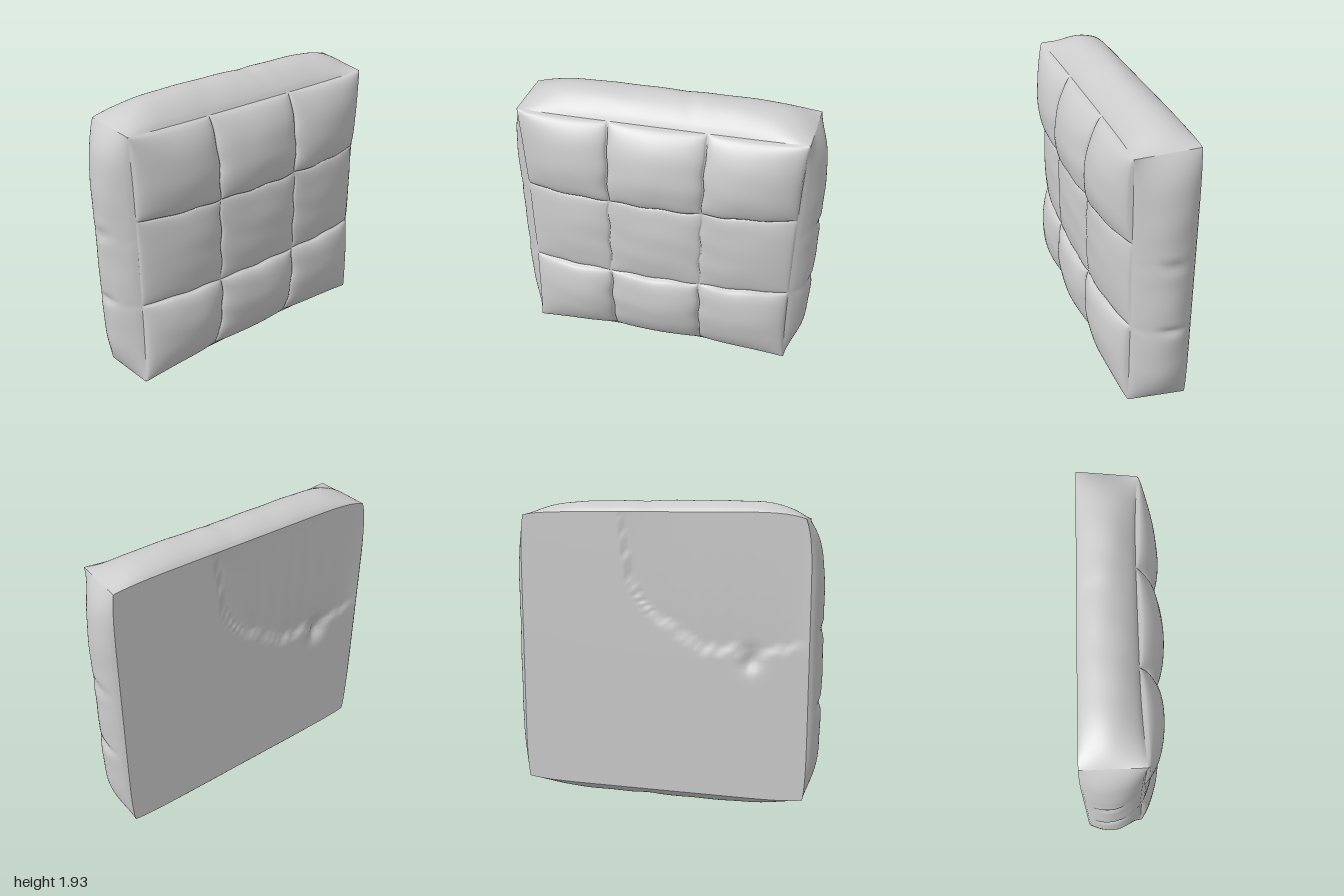
import * as THREE from 'three';

const MID_Y = 0.965;
const BACK_Z = -0.25;
const COLS = [-1, -0.36, 0.33, 1]; // seam positions across the panel
const ROWS = [-1, -0.32, 0.37, 1]; // seam positions up the panel
const N = 28; // steps per quilted square
const { lerp, smoothstep } = THREE.MathUtils;

const material = new THREE.MeshStandardMaterial({ color: 0xcccccc });

// Smooth surface patch from a rule f(s, t) with s and t in 0..1
function patch(name, ns, nt, f, flip = false) {
  const pos = [], index = [];
  for (let j = 0; j <= nt; j++)
    for (let i = 0; i <= ns; i++) pos.push(...f(i / ns, j / nt));
  for (let j = 0; j < nt; j++)
    for (let i = 0; i < ns; i++) {
      const a = j * (ns + 1) + i, b = a + 1, c = a + ns + 1, d = c + 1;
      if (flip) index.push(a, c, b, b, c, d);
      else index.push(a, b, c, b, d, c);
    }
  const g = new THREE.BufferGeometry();
  g.setAttribute('position', new THREE.Float32BufferAttribute(pos, 3));
  g.setIndex(index);
  g.computeVertexNormals();
  const mesh = new THREE.Mesh(g, material);
  mesh.name = name;
  return mesh;
}

// Position in a row of three squares, with steps packed closer near the seams
function square(s, seams) {
  const k = Math.min(2, Math.floor(s * 3 + 1e-6));
  const a = Math.min(1, Math.max(0, s * 3 - k));
  const eased = lerp(a, (1 - Math.cos(Math.PI * a)) / 2, 0.8);
  return { k, a: eased, u: lerp(seams[k], seams[k + 1], eased) };
}

// Puffed, quilted front panel
function front(s, t) {
  const c = square(s, COLS), r = square(t, ROWS);
  const u = c.u, v = r.u;
  const inside = (1 - u ** 4) * (1 - v ** 4);
  const puff = Math.pow(16 * c.a * (1 - c.a) * r.a * (1 - r.a), 0.4);
  const dome = (1 - Math.abs(u) ** 3) * (1 - v ** 4);
  const wrinkle = 0.003 * inside * puff * Math.sin(9 * v + 5 * u) * Math.sin(17 * v - 4 * u);
  const z = 0.08 + 0.03 * u ** 4 + 0.01 * v ** 4 + 0.1 * dome
    + (r.k === 1 ? 0.042 : 0.085) * puff + wrinkle;
  // seams wander slightly
  const wx = 0.006 * inside * Math.sin(23 * v + 3 * u);
  const wy = 0.005 * inside * Math.sin(21 * u + 2 * v);
  return [
    u * (0.865 + 0.02 * v ** 4) + wx,
    MID_Y + v * (0.825 + 0.025 * u ** 4) + wy,
    z,
  ];
}

// Outline of the flat back, with one corner rounder than the rest
function backXY(u, v) {
  const round = u < 0 && v > 0 ? 0.04 : 0.018;
  return [u * (0.93 - round * v ** 8), MID_Y + v * (0.89 - round * u ** 8)];
}

// Bulging boxed side, tapering into creased corners
function wall(name, axis, sign) {
  const onX = axis === 0;
  const edge = sign > 0 ? 1 : 0;
  return patch(name, N * 3, 28, (s, t) => {
    const p = onX ? front(edge, s) : front(s, edge);
    const w = square(s, onX ? ROWS : COLS).u;
    const b = onX ? backXY(sign, w) : backXY(w, sign);
    const out = [lerp(p[0], b[0], t), lerp(p[1], b[1], t), lerp(p[2], BACK_Z, t)];
    const swell = Math.max(0, Math.sin(Math.PI * t)) ** 0.75 * (1 - w ** 6);
    // gathers in the cloth where the quilting pulls
    const dent = onX
      ? 0.018 * (Math.exp(-(((w + 0.32) / 0.04) ** 2)) + Math.exp(-(((w - 0.22) / 0.05) ** 2)))
        * (0.6 + 0.4 * Math.sin(9 * t + 12 * w))
      : 0.006 * Math.exp(-(((w - 0.2 + 0.1 * t) / 0.06) ** 2));
    const ripple = 0.003 * Math.sin(13 * w + 4 * t) * Math.sin(7 * w - 6 * t);
    out[axis] += sign * swell * ((onX ? 0.098 : 0.1) - dent + ripple);
    return out;
  }, onX ? sign > 0 : sign < 0);
}

// Ragged fold line on the back: x, y pairs
const FOLD = [[-1, 1.05], [-0.55, 0.99], [-0.3, 1.0], [0.06, 1.2], [0.2, 1.42], [0.27, 1.9], [1, 3]];
function foldY(x) {
  const i = Math.max(1, FOLD.findIndex((p) => p[0] >= x));
  const [a, b] = [FOLD[i - 1], FOLD[i]];
  return lerp(a[1], b[1], (x - a[0]) / (b[0] - a[0])) + 0.02 * Math.sin(31 * x) * Math.sin(17 * x);
}

// Flat back with a shallow fold and a small dimple
function back(s, t) {
  const u = square(s, COLS).u, v = square(t, ROWS).u;
  const [x, y] = backXY(u, v);
  const d = y - foldY(x);
  const fold = 0.02 * smoothstep(d, 0, 0.03) * Math.exp(-Math.max(0, d) / 0.35);
  const dimple = 0.05 * Math.exp(-(((x + 0.58) / 0.05) ** 2) - ((y - 0.96) / 0.06) ** 2);
  return [x, y, BACK_Z + (fold + dimple) * (1 - u ** 8) * (1 - v ** 8)];
}

export function createModel() {
  const group = new THREE.Group();
  group.name = 'quiltedCushion';
  group.add(
    patch('quiltedFront', N * 3, N * 3, front),
    wall('leftSide', 0, 1),
    wall('rightSide', 0, -1),
    wall('topSide', 1, 1),
    wall('bottomSide', 1, -1),
    patch('backPanel', N * 3, N * 3, back, true),
  );
  return group;
}
